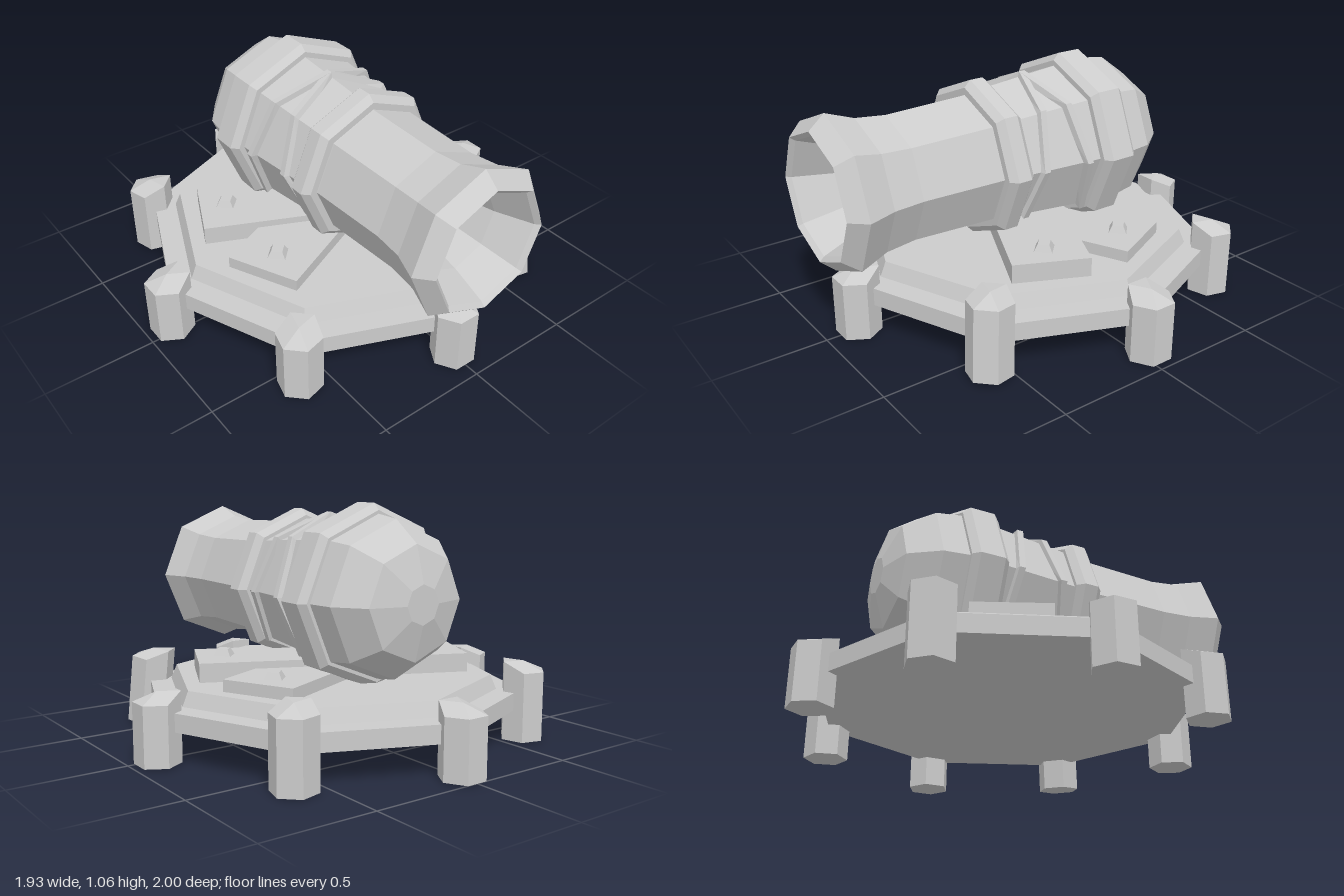
import * as THREE from 'three';

const CZ = -0.035; // centre of the octagonal base
const AXIS_Y = 0.66; // height of the barrel axis
const mat = new THREE.MeshStandardMaterial({ color: 0xcccccc, flatShading: true });

function add(parent, name, geometry, x = 0, y = 0, z = 0) {
  const mesh = new THREE.Mesh(geometry, mat);
  mesh.name = name;
  mesh.position.set(x, y, z);
  parent.add(mesh);
  return mesh;
}

// Eight-sided turned part lying along z, from [z, radius] points
function turned(points) {
  const geo = new THREE.LatheGeometry(points.map(([z, r]) => new THREE.Vector2(r, z)), 8);
  return geo.rotateX(Math.PI / 2);
}

// Hexagonal post whose top slopes down on its outer (+z) half
function postGeometry(height) {
  const geo = new THREE.CylinderGeometry(0.1, 0.1, 1, 6).rotateY(Math.PI / 6);
  const p = geo.attributes.position;
  for (let i = 0; i < p.count; i++) {
    const onAxis = Math.hypot(p.getX(i), p.getZ(i)) < 0.01;
    const high = onAxis || p.getZ(i) < -0.01;
    p.setY(i, p.getY(i) < 0 ? 0 : high ? height : height - 0.042);
  }
  return geo;
}

// Rope laid over the barrel: a bevelled section carried around the octagon
function ropeGeometry(side) {
  const spread = [0.15, 0.11, 0.065, 0];
  const section = [[-0.04, -0.03], [0.025, -0.015], [0.025, 0.015], [-0.04, 0.03]];
  const pos = [], index = [];
  for (let i = -3; i <= 3; i++) {
    const a = i * Math.PI / 4;
    const z = -0.03 + side * Math.sign(i) * spread[3 - Math.abs(i)];
    const r = 0.325 - 0.11 * z;
    for (const [dr, dz] of section) {
      pos.push(Math.sin(a) * (r + dr), Math.cos(a) * (r + dr), z + dz);
    }
  }
  for (let i = 0; i < 6; i++) {
    for (let j = 0; j < 4; j++) {
      const a = i * 4 + j, b = i * 4 + (j + 1) % 4;
      index.push(a, b, a + 4, b, b + 4, a + 4);
    }
  }
  index.push(0, 2, 1, 0, 3, 2, 24, 25, 26, 24, 26, 27);
  const geo = new THREE.BufferGeometry();
  geo.setAttribute('position', new THREE.Float32BufferAttribute(pos, 3));
  geo.setIndex(index);
  geo.computeVertexNormals();
  return geo;
}

export function createModel() {
  const model = new THREE.Group();
  model.name = 'cannon';

  // Stepped octagonal platform
  const base = new THREE.Group();
  base.name = 'base';
  model.add(base);
  add(base, 'lowerPlate', new THREE.CylinderGeometry(0.87, 0.87, 0.08, 8), 0, 0.18, CZ);
  add(base, 'upperPlate', new THREE.CylinderGeometry(0.735, 0.765, 0.07, 8), 0, 0.25, CZ);

  // Posts at the corners, one of them leaning inwards
  const heights = [0.305, 0.355, 0.305, 0.345, 0.305, 0.355, 0.305, 0.31];
  heights.forEach((h, i) => {
    const a = i * Math.PI / 4;
    const post = add(base, 'post', postGeometry(h), Math.sin(a) * 0.88, 0, CZ + Math.cos(a) * 0.88);
    post.rotation.order = 'YXZ';
    post.rotation.y = a;
    if (i === 1) {
      post.rotation.x = -0.1;
      post.position.y = 0.01;
    }
  });

  // Two crossed planks under the barrel, each with a stud near either end
  for (const [side, top] of [[1, 0.37], [-1, 0.338]]) {
    const plank = add(base, 'plank', new THREE.BoxGeometry(1.22, top - 0.27, 0.34), 0, (top + 0.27) / 2, CZ);
    plank.rotation.y = -side * 0.433;
    for (const end of [1, -1]) {
      const stud = new THREE.CylinderGeometry(0.035, 0.058, 0.034, 4);
      add(base, 'stud', stud, side * end * 0.44, top + 0.014, CZ + end * 0.21);
    }
  }

  // Barrel: domed breech, flared muzzle and tapering bore
  const barrel = new THREE.Group();
  barrel.name = 'barrel';
  barrel.position.y = AXIS_Y;
  model.add(barrel);
  add(barrel, 'barrelBody', turned([
    [-0.675, 0], [-0.675, 0.085], [-0.63, 0.245], [-0.5, 0.34], [-0.36, 0.36],
    [-0.2, 0.345], [0.15, 0.313], [0.28, 0.297], [0.66, 0.285], [0.8, 0.3],
    [0.93, 0.347], [1.0, 0.285], [0.98, 0.265], [0.82, 0.2], [0.45, 0.11], [0.45, 0],
  ]));

  // Raised bands with chamfered edges
  for (const [name, z0, z1, r] of [['frontBand', 0.15, 0.275, 0.36], ['rearBand', -0.385, -0.21, 0.402]]) {
    add(barrel, name, turned([
      [z0, 0.28], [z0, r - 0.03], [z0 + 0.03, r], [z1 - 0.03, r], [z1, r - 0.03], [z1, 0.28],
    ]));
  }

  // Pair of ropes crossing on top
  for (const side of [1, -1]) add(barrel, 'rope', ropeGeometry(side));

  return model;
}
